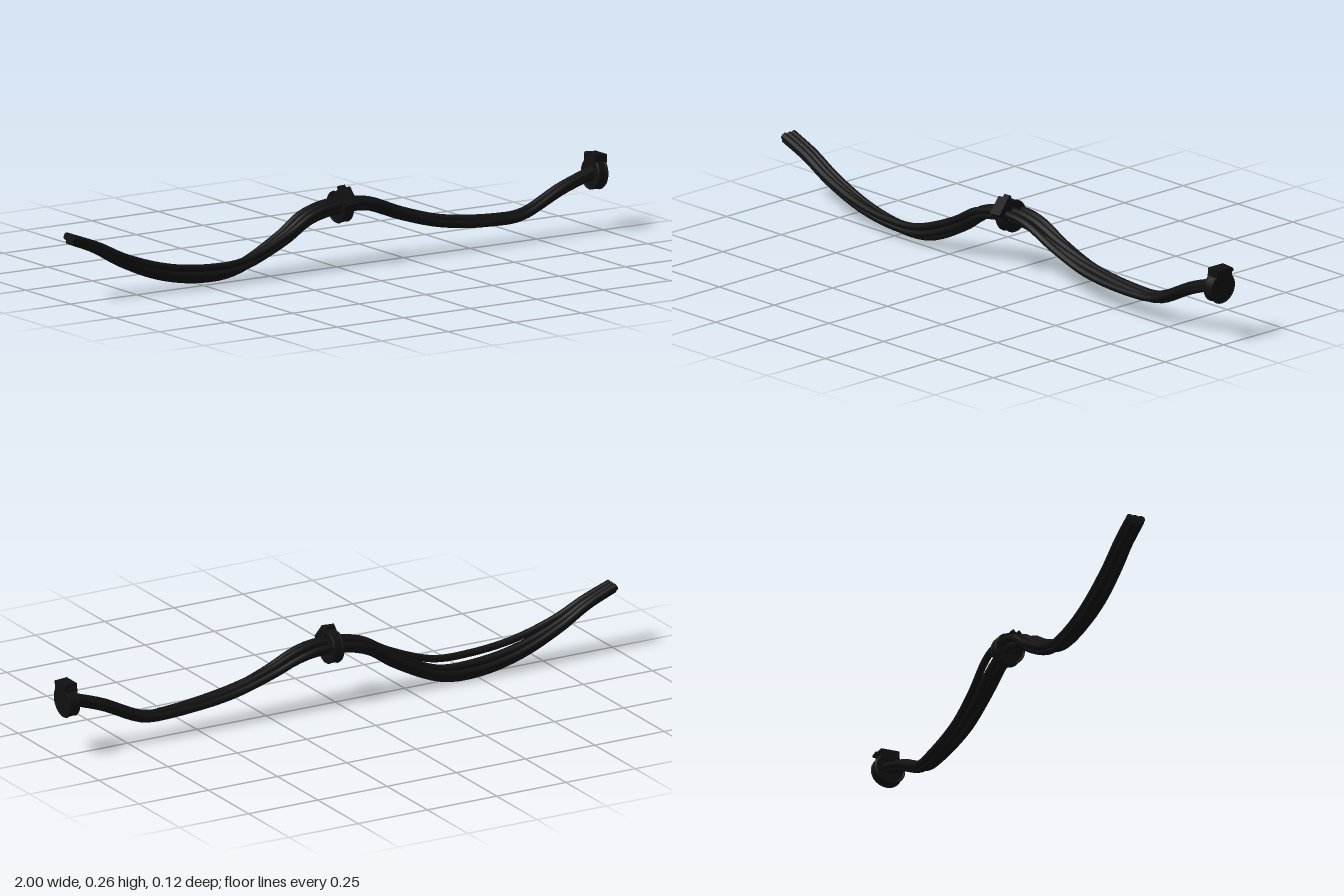
import * as THREE from 'three';

const material = new THREE.MeshStandardMaterial({ color: 0x111111 });
const RADIUS = 0.0118;

// Sagging centre line of the bundle: x, y
const path = [
  [-0.996, 0.206], [-0.9, 0.168], [-0.8, 0.115], [-0.65, 0.06], [-0.5, 0.036],
  [-0.37, 0.042], [-0.2, 0.113], [-0.1, 0.173], [0.02, 0.196], [0.12, 0.188],
  [0.25, 0.14], [0.4, 0.098], [0.6, 0.078], [0.7, 0.083], [0.85, 0.15], [0.975, 0.192],
];

// Each cable's place in the bundle (dy, z) at these stations along x
const stations = [-1, -0.45, 0.02, 0.4, 0.98];
const cables = [
  [[0.006, 0.008], [0.027, 0.03], [0.008, 0.024], [-0.004, 0.022], [0.006, 0.004]],
  [[-0.006, 0.004], [0, 0.011], [-0.012, 0.008], [0.01, 0.008], [-0.006, 0.005]],
  [[0.006, -0.012], [0.004, -0.006], [0.012, -0.006], [0.01, -0.012], [0.01, -0.007]],
  [[-0.006, -0.018], [-0.022, -0.03], [-0.012, -0.022], [-0.008, -0.006], [-0.008, -0.012]],
  [[0.006, -0.03], [-0.008, -0.036], [0.006, -0.046], [0, -0.026], [0.004, -0.02]],
];

// Smooth blend of a cable's offsets between stations
function offsetAt(offsets, x) {
  let i = 0;
  while (i < stations.length - 2 && x > stations[i + 1]) i++;
  const t = THREE.MathUtils.smoothstep(x, stations[i], stations[i + 1]);
  return [0, 1].map((k) => THREE.MathUtils.lerp(offsets[i][k], offsets[i + 1][k], t));
}

function add(parent, geometry, name) {
  const mesh = new THREE.Mesh(geometry, material);
  mesh.name = name;
  parent.add(mesh);
  return mesh;
}

function makeCable(offsets, name) {
  const group = new THREE.Group();
  group.name = name;
  const curve = new THREE.CatmullRomCurve3(path.map(([x, y]) => {
    const [dy, z] = offsetAt(offsets, x);
    return new THREE.Vector3(x, y + dy, z);
  }));
  add(group, new THREE.TubeGeometry(curve, 72, RADIUS, 12), 'cableSheath');
  // Flat cut at the open end
  const cap = add(group, new THREE.CircleGeometry(RADIUS, 12), 'cableEnd');
  cap.position.copy(curve.getPoint(0));
  cap.lookAt(curve.getPoint(0).sub(curve.getTangent(0)));
  return group;
}

// Tie strap round the bundle, with its locking head up and the trimmed tail to -z
function makeTie(name) {
  const group = new THREE.Group();
  group.name = name;
  const strap = add(group, new THREE.CylinderGeometry(0.05, 0.05, 0.034, 32), 'strap');
  strap.rotation.z = Math.PI / 2;
  for (const side of [-1, 1]) {
    const rim = add(group, new THREE.TorusGeometry(0.048, 0.004, 6, 32), 'strapRim');
    rim.rotation.y = Math.PI / 2;
    rim.position.x = side * 0.015;
  }
  const head = add(group, new THREE.BoxGeometry(0.044, 0.036, 0.063), 'lockingHead');
  head.position.y = 0.046;
  const tail = add(group, new THREE.BoxGeometry(0.026, 0.009, 0.03), 'strapTail');
  tail.position.set(0, 0.05, -0.03);
  return group;
}

export function createModel() {
  const model = new THREE.Group();
  model.name = 'cableBundle';
  cables.forEach((offsets, i) => model.add(makeCable(offsets, `cable${i + 1}`)));

  const middleTie = makeTie('middleTie');
  middleTie.position.set(0.02, 0.19, -0.01);
  middleTie.rotation.set(0.87, 0, 0.06, 'ZYX');
  const endTie = makeTie('endTie');
  endTie.position.set(0.973, 0.184, -0.007);
  endTie.rotation.z = -0.07;
  model.add(middleTie, endTie);
  return model;
}
